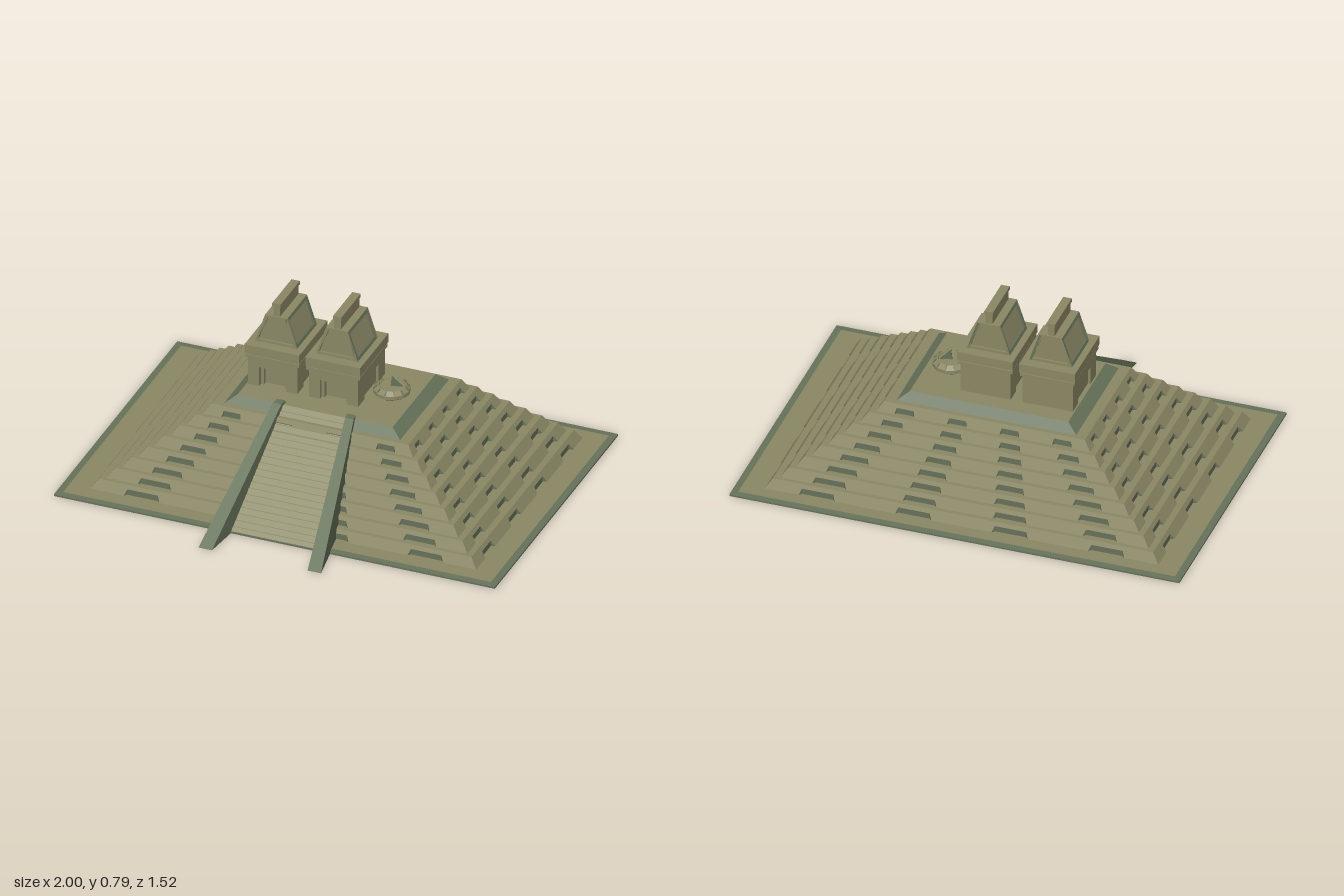
import * as THREE from 'three';
import { mergeGeometries } from 'three/addons/utils/BufferGeometryUtils.js';

const CZ = -0.085; // depth centre of the pyramid
const material = (color) => new THREE.MeshStandardMaterial({ color, flatShading: true, side: THREE.DoubleSide });

function fromTriangles(pos) {
  const g = new THREE.BufferGeometry();
  g.setAttribute('position', new THREE.Float32BufferAttribute(pos, 3));
  g.computeVertexNormals();
  return g;
}

// Surface through rectangular rings [halfX, halfZ, y]
function loft(rings) {
  const corners = [[1, 1], [1, -1], [-1, -1], [-1, 1]];
  const pos = [];
  const put = ([hx, hz, y], i) => pos.push(corners[i % 4][0] * hx, y, corners[i % 4][1] * hz);
  for (let r = 0; r < rings.length - 1; r++) {
    const a = rings[r], b = rings[r + 1];
    for (let i = 0; i < 4; i++) {
      put(a, i); put(a, i + 1); put(b, i + 1);
      put(a, i); put(b, i + 1); put(b, i);
    }
  }
  return fromTriangles(pos);
}

const toShape = (pts) => new THREE.Shape(pts.map(([x, y]) => new THREE.Vector2(x, y)));
const extrude = (shape, depth) => new THREE.ExtrudeGeometry(shape, { depth, bevelEnabled: false });

// Side profile (z, y) swept across x between lo(z) and hi(z)
function sweepX(pts, lo, hi) {
  const g = extrude(toShape(pts), 1);
  const p = g.attributes.position;
  for (let i = 0; i < p.count; i++) {
    const z = p.getX(i), t = 1 - p.getZ(i);
    p.setXYZ(i, lo(z) + t * (hi(z) - lo(z)), p.getY(i), z);
  }
  g.computeVertexNormals();
  return g;
}

// Trapezoid panel border, base at y = 0
function frame(bottom, top, height, border, depth) {
  const s = toShape([[-bottom, 0], [bottom, 0], [top, height], [-top, height]]);
  const b = bottom - border, t = top - border;
  s.holes.push(new THREE.Path([[-b, border], [-t, height - border], [t, height - border], [b, border]]
    .map(([x, y]) => new THREE.Vector2(x, y))));
  return extrude(s, depth);
}

// Wall with a doorway notch
const doorWall = (hw, h, doorW, doorH, depth) => extrude(toShape([
  [-hw, 0], [-doorW, 0], [-doorW, doorH], [doorW, doorH], [doorW, 0], [hw, 0], [hw, h], [-hw, h]]), depth);

export function createModel() {
  const root = new THREE.Group();
  root.name = 'steppedPyramid';
  const stone = material(0x8b8865);
  const moss = material(0x66725a);

  const add = (parent, name, geo, mat, x = 0, y = 0, z = 0) => {
    const m = new THREE.Mesh(geo, mat);
    m.name = name;
    m.position.set(x, y, z);
    parent.add(m);
  };

  // Ground plate and hollow underside
  add(root, 'hollowUnderside', loft([[0.345, 0.228, 0.388], [0.395, 0.258, 0.352], [0.82, 0.54, 0]]), moss, 0, 0, CZ);
  add(root, 'hollowCeiling', loft([[0, 0, 0.388], [0.345, 0.228, 0.388]]), stone, 0, 0, CZ);
  add(root, 'plateEdge', loft([[0.82, 0.54, 0], [1, 0.68, 0], [1, 0.68, 0.008], [0.97, 0.65, 0.01]]), moss, 0, 0, CZ + 0.005);
  add(root, 'plateTop', loft([[0.97, 0.65, 0.01], [0.84, 0.56, 0.01]]), stone, 0, 0, CZ + 0.005);

  // Eight sloped terraces, four niches cut in the foot of every face
  const N = 8, y0 = 0.01, dy = 0.0438, cut = 0.6;
  const hx = (i) => 0.875 - 0.057 * i, hz = (i) => 0.585 - 0.039 * i;
  const faces = [], niches = [], treads = [];
  for (let i = 0; i < N; i++) {
    const y = y0 + i * dy;
    treads.push(loft([[hx(i) - 0.03, hz(i) - 0.02, y + dy], [hx(i + 1) - 0.025, hz(i + 1) - 0.016, y + dy]]));
    for (let side = 0; side < 4; side++) {
      const long = side % 2 === 0;
      const along = long ? hx(i) : hz(i), out = long ? hz(i) : hx(i);
      const run = long ? 0.02 : 0.03, runAlong = 0.05 - run;
      const w = along * 0.092, v = w * 0.86, back = out - run * cut, top = y + cut * dy;
      const outline = [[-along, 0]];
      for (const f of [-0.735, -0.245, 0.245, 0.735]) {
        const c = f * along;
        outline.push([c - w, 0], [c - v, cut], [c + v, cut], [c + w, 0]);
        niches.push(fromTriangles([
          c - v, y, back, c + v, y, back, c + v, top, back,
          c - v, y, back, c + v, top, back, c - v, top, back,
          c - w, y, out, c - v, y, back, c - v, top, back,
          c + w, y, out, c + v, top, back, c + v, y, back]).rotateY(side * Math.PI / 2));
      }
      outline.push([along, 0], [along - runAlong, 1], [runAlong - along, 1]);
      const face = new THREE.ShapeGeometry(toShape(outline));
      const p = face.attributes.position;
      for (let k = 0; k < p.count; k++) {
        const t = p.getY(k);
        p.setXYZ(k, p.getX(k), y + t * dy, out - run * t);
      }
      face.computeVertexNormals();
      faces.push(face.rotateY(side * Math.PI / 2));
    }
  }
  add(root, 'terraceFaces', mergeGeometries(faces), stone, 0, 0, CZ);
  add(root, 'terraceNiches', mergeGeometries(niches), moss, 0, 0, CZ);
  add(root, 'terraceTreads', mergeGeometries(treads), stone, 0, 0, CZ);
  add(root, 'platformRim', loft([[0.40, 0.27, 0.36], [0.352, 0.235, 0.395]]), moss, 0, 0, CZ);
  add(root, 'platformFloor', loft([[0.352, 0.235, 0.395], [0, 0, 0.395]]), stone, 0, 0, CZ);

  // Front stairway with raked risers, widening towards the ground
  const STEPS = 20, going = 0.45 / STEPS;
  const steps = [[0.15, 0.385], [0.18, 0.365], [0.495, 0.004], [0.6, 0.004]];
  for (let i = 0; i < STEPS; i++) {
    const z = 0.6 - going * i, y = 0.004 + 0.391 * (i + 1) / STEPS;
    steps.push([z - going * 0.8, y], [z - going, y]);
  }
  const inner = (z) => 0.14 + (z - 0.135) / 0.625 * 0.077;
  const outer = (z) => 0.178 + (z - 0.135) / 0.625 * 0.1;
  add(root, 'stairway', sweepX(steps, (z) => -inner(z) - 0.005, (z) => inner(z) + 0.005), stone);

  // Balustrades
  const rail = [[0.5, 0], [0.18, 0.362], [0.135, 0.39], [0.135, 0.405], [0.17, 0.405], [0.76, 0]];
  add(root, 'leftBalustrade', sweepX(rail, inner, outer), moss);
  add(root, 'rightBalustrade', sweepX(rail, (z) => -outer(z), (z) => -inner(z)), moss);

  // Twin temples
  const box = (w, h, d, y) => new THREE.BoxGeometry(w, h, d).translate(0, y + h / 2, 0);
  const tilt = Math.atan(0.045 / 0.135), slant = Math.hypot(0.045, 0.135);
  for (const [name, x] of [['rightTemple', -0.233], ['leftTemple', 0.043]]) {
    const t = new THREE.Group();
    t.name = name;
    t.position.set(x, 0.395, -0.095);
    root.add(t);
    add(t, 'chamber', box(0.2, 0.135, 0.25, 0).translate(0, 0, -0.018), stone);
    add(t, 'innerDoorway', doorWall(0.1, 0.135, 0.048, 0.078, 0.02), stone, 0, 0, 0.107);
    add(t, 'frontWall', doorWall(0.112, 0.135, 0.062, 0.092, 0.02), stone, 0, 0, 0.127);
    for (const s of [1, -1]) {
      const wall = doorWall(0.147, 0.135, 0.079, 0.085, 0.012).translate(0, 0, 0.1);
      add(t, 'sideWall', wall.rotateY(s * Math.PI / 2), stone);
    }
    add(t, 'backWall', box(0.224, 0.135, 0.012, 0), stone, 0, 0, -0.141);
    add(t, 'lowerCornice', box(0.243, 0.014, 0.305, 0.133), stone);
    add(t, 'corniceNeck', box(0.23, 0.006, 0.295, 0.147), moss);
    add(t, 'upperCornice', box(0.248, 0.042, 0.312, 0.153), stone);
    add(t, 'roofCore', loft([[0.085, 0.1, 0.195], [0.041, 0.1, 0.33], [0, 0, 0.33]]), stone);
    for (const s of [1, -1]) {
      const end = frame(0.095, 0.05, 0.135, 0.012, 0.01).translate(0, 0, 0.1);
      if (s < 0) end.rotateY(Math.PI);
      add(t, 'roofEndFrame', end, stone, 0, 0.195, 0);
      const flank = frame(0.11, 0.11, slant, 0.014, 0.01).translate(0, 0, -0.01);
      flank.rotateX(-tilt).translate(0, 0, 0.095).rotateY(s * Math.PI / 2);
      add(t, 'roofSideFrame', flank, moss, 0, 0.195, 0);
    }
    add(t, 'roofTop', box(0.1, 0.005, 0.22, 0.326), stone);
    add(t, 'roofCrest', box(0.03, 0.048, 0.205, 0.329), stone);
    add(t, 'crestCap', box(0.038, 0.016, 0.212, 0.376), stone);
  }

  // Round sundial altar
  const dial = new THREE.Group();
  dial.name = 'sundial';
  dial.position.set(0.247, 0.395, -0.095);
  root.add(dial);
  const profile = [[0, 0], [0.052, 0], [0.079, 0.018], [0.079, 0.034], [0.062, 0.05],
    [0.056, 0.05], [0.054, 0.044], [0, 0.044]].map(([r, y]) => new THREE.Vector2(r, y));
  add(dial, 'dialDisc', new THREE.LatheGeometry(profile, 12), stone);
  for (let i = 0; i < 12; i++) {
    const mark = new THREE.BoxGeometry(0.02, 0.005, 0.005).rotateZ(-0.75).translate(0.07, 0.043, 0);
    add(dial, 'hourMark', mark.rotateY(i * Math.PI / 6), moss);
  }
  const fin = extrude(toShape([[-0.005, 0.042], [0.05, 0.042], [0, 0.09]]), 0.006).translate(0, 0, -0.003);
  add(dial, 'pointer', fin.rotateY(0.25), moss);

  return root;
}
